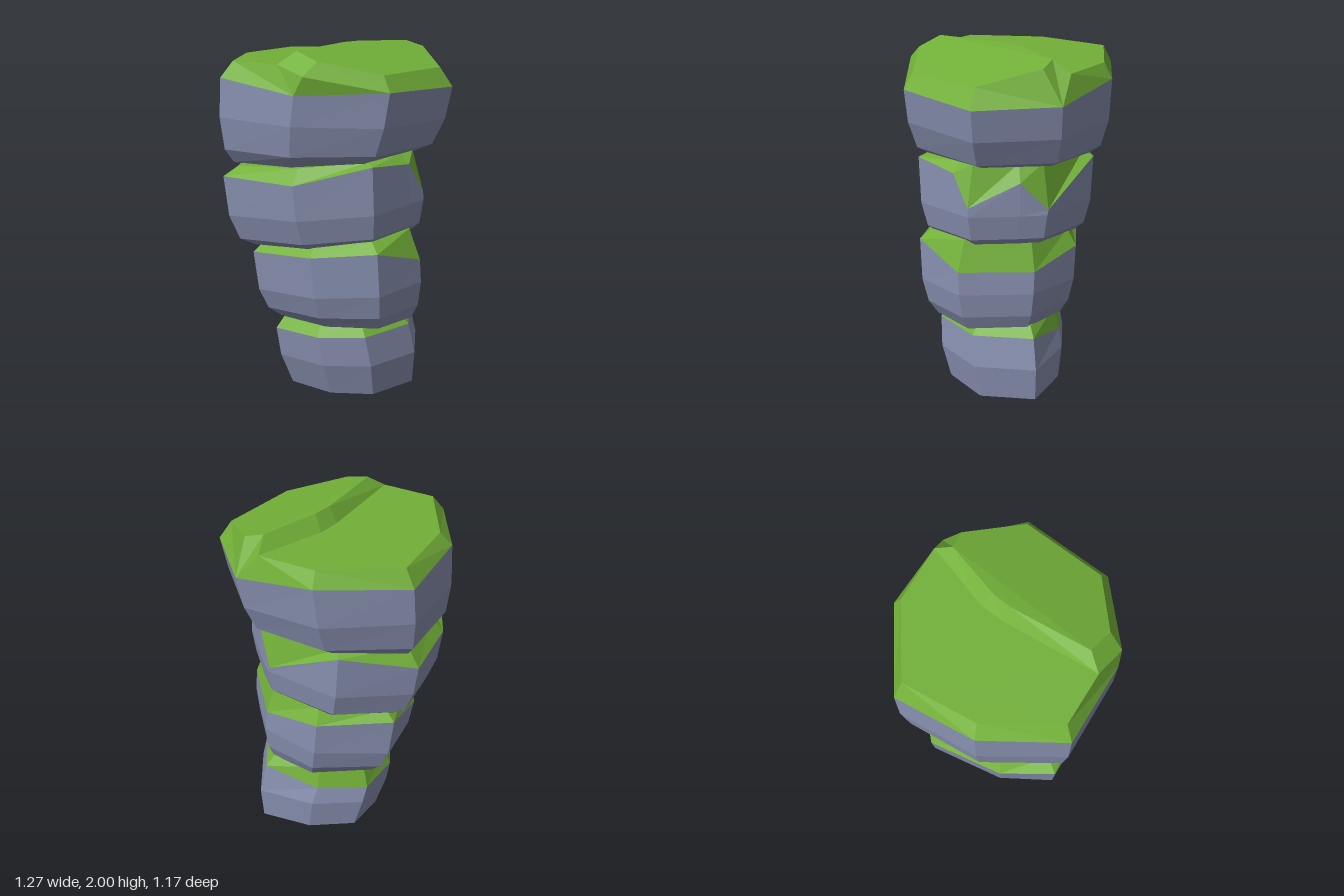
import * as THREE from 'three';

const stoneMat = new THREE.MeshStandardMaterial({ color: 0x8890b0, flatShading: true, side: THREE.DoubleSide });
const mossMat = new THREE.MeshStandardMaterial({ color: 0x72b038, flatShading: true, side: THREE.DoubleSide });

// Every stone is a rough octagon stacked in rings: underside, edge, belly, shoulder, cap.
// outline corners run from the front right round the front to the back: [x, z, shoulder drop]
const SCALES = [0.8, 0.91, 0.98, 1, 0.87];
const STONES = [
  {
    name: 'baseStone',
    outline: [[-0.34, 0.22], [-0.08, 0.38], [0.19, 0.38], [0.43, 0.15], [0.43, -0.2], [0.12, -0.32, 0.07],
      [-0.18, -0.3, 0.07], [-0.33, -0.09, 0.05]],
    heights: [0, 0.19, 0.365, 0.425], scales: [0.92, 1.02, 1, 0.88],
    slopes: [0, 0.03], lean: 0.06, leanZ: -0.03,
  },
  {
    name: 'lowerStone',
    outline: [[-0.46, 0.26], [-0.11, 0.47], [0.26, 0.48], [0.49, 0.22, 0.12], [0.41, -0.2, 0.12],
      [0.12, -0.41, 0.04], [-0.32, -0.38], [-0.46, -0.07, 0.07]],
    heights: [0.43, 0.5, 0.63, 0.87, 0.925],
    slopes: [0, 0.09], lean: 0.055,
  },
  {
    name: 'middleStone',
    outline: [[-0.62, 0.27], [-0.2, 0.51, 0.03], [0.23, 0.48, -0.04], [0.42, 0.25], [0.5, 0.16, 0.18],
      [0.43, -0.12, 0.04], [0.38, -0.27, 0.2], [0, -0.49, -0.03], [-0.44, -0.41, 0.05], [-0.61, -0.03, 0.04]],
    heights: [0.91, 0.95, 1.09, 1.32, 1.375],
    slopes: [0.08, 0.08], lean: 0.04,
  },
  {
    name: 'topStone',
    outline: [[-0.61, 0.33], [-0.18, 0.575, 0.04], [0.32, 0.53], [0.65, 0.11], [0.53, -0.35],
      [0.13, -0.585, -0.04], [-0.38, -0.56], [-0.61, -0.15, -0.02]],
    heights: [1.375, 1.435, 1.6, 1.8],
    slopes: [0.04, -0.05], lean: -0.07, crown: true,
  },
];

const vec = (x, y, z) => new THREE.Vector3(x, y, z);

// Collects flat polygons, turned to face away from a centre
function collector(centre) {
  const data = [];
  const add = (...pts) => {
    for (let i = 1; i < pts.length - 1; i++) {
      const [a, b, c] = [pts[0], pts[i], pts[i + 1]];
      const normal = b.clone().sub(a).cross(c.clone().sub(a));
      const out = a.clone().add(b).add(c).divideScalar(3).sub(centre);
      for (const p of normal.dot(out) < 0 ? [a, c, b] : [a, b, c]) data.push(p.x, p.y, p.z);
    }
  };
  const mesh = (material, name) => {
    const geometry = new THREE.BufferGeometry();
    geometry.setAttribute('position', new THREE.Float32BufferAttribute(data, 3));
    geometry.computeVertexNormals();
    const m = new THREE.Mesh(geometry, material);
    m.name = name;
    return m;
  };
  return { add, mesh };
}

function band(add, low, high) {
  low.forEach((p, i) => {
    const j = (i + 1) % low.length;
    add(p, low[j], high[j], high[i]);
  });
}

// Mossy crown: low plateau, slanted step and raised slab sloping to the front left
function addCrown(add, rim) {
  const plateau = (x, z) => vec(x, 1.92, z);
  const slab = (x, z) => vec(x, 2 - 0.225 * Math.max(0, x + 0.8 * z - 0.1), z);
  const inset = (p, place) => place(p.x * 0.89, p.z * 0.92);
  const [G, F, E, D, C, B, A, H] = rim;
  const [g, b, a, h] = [G, B, A, H].map((p) => inset(p, plateau));
  const [e, d] = [E, D].map((p) => inset(p, slab));
  const c = slab(0.48, -0.24), f = slab(-0.06, 0.52);
  const lip = vec(-0.13, 1.87, 0.585);
  const foot = [[-0.28, 0.46], [0, -0.02], [0.085, -0.13], [0.405, -0.38]].map((p) => plateau(...p));
  const crest = [[-0.18, 0.42], [0.04, 0.02], [0.115, -0.07], [0.38, -0.28]].map((p) => slab(...p));

  // plateau, step, slab top
  add(a, h, g, ...foot, b);
  for (let i = 0; i < 3; i++) add(foot[i], foot[i + 1], crest[i + 1], crest[i]);
  add(...crest, c, d, e, f);
  // bevelled rim
  const outer = [F, G, H, A, B, C], inner = [foot[0], g, h, a, b, foot[3]];
  for (let i = 0; i < 5; i++) add(outer[i], outer[i + 1], inner[i + 1], inner[i]);
  add(C, c, crest[3], foot[3]);
  add(C, D, d, c);
  add(D, E, e, d);
  add(E, lip, f, e);
  add(lip, foot[0], crest[0], f);
  add(F, E, lip);
  add(F, lip, foot[0]);
}

function makeStone({ name, outline, heights, scales = SCALES, slopes, lean, leanZ = 0, crown }) {
  const last = crown ? heights.length - 1 : heights.length - 2; // shoulder ring
  const rings = heights.map((y, i) => {
    const t = Math.min(1, i / last);
    const slope = THREE.MathUtils.lerp(slopes[0], slopes[1], t);
    return outline.map(([x, z, drop = 0]) => vec(
      x * scales[i] + lean * (1 - t),
      y + slope * x - (i === last ? drop : 0),
      z * scales[i] + leanZ * (1 - t)));
  });
  const centre = vec(0, (heights[0] + heights[last]) / 2, 0);
  const stone = collector(centre), moss = collector(centre);

  // stone walls, and an underside except where the base is open to the ground
  if (heights[0] > 0) stone.add(...rings[0]);
  for (let i = 0; i < last; i++) band(stone.add, rings[i], rings[i + 1]);

  // mossy bevel and top
  if (crown) {
    addCrown(moss.add, rings[last]);
  } else {
    band(moss.add, rings[last], rings[last + 1]);
    moss.add(...rings[last + 1]);
  }

  const group = new THREE.Group();
  group.name = name;
  group.add(stone.mesh(stoneMat, name + 'Rock'), moss.mesh(mossMat, name + 'Moss'));
  return group;
}

export function createModel() {
  const model = new THREE.Group();
  model.name = 'mossyRockPillar';
  for (const spec of STONES) model.add(makeStone(spec));
  return model;
}
